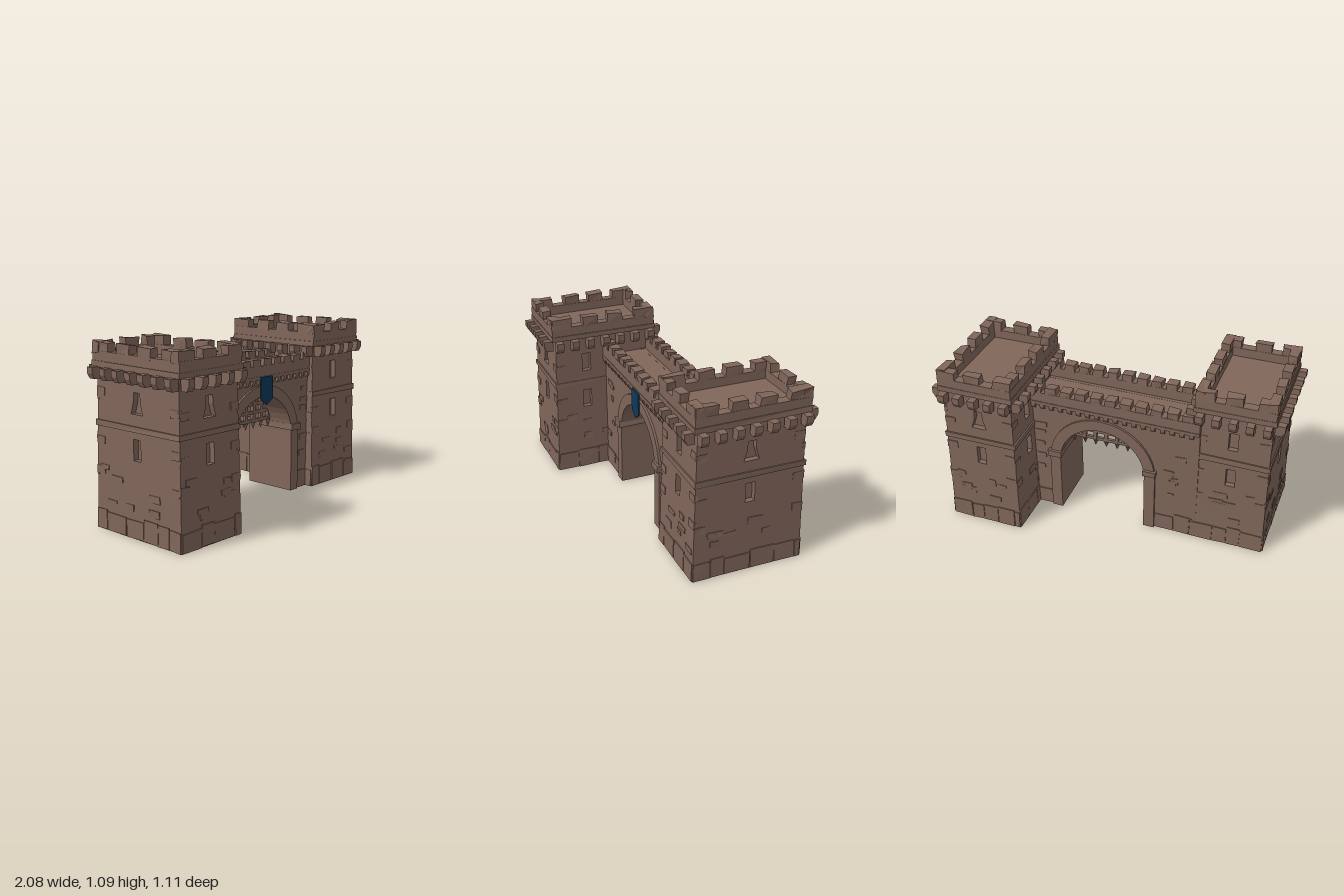
import * as THREE from 'three';
import { mergeGeometries } from 'three/addons/utils/BufferGeometryUtils.js';

const stone = new THREE.MeshStandardMaterial({ color: 0x80665a });
stone.name = 'brown stone';
const cloth = new THREE.MeshStandardMaterial({ color: 0x0e3857 });
cloth.name = 'blue cloth';

let seed = 7;
const rnd = (a = 0, b = 1) => {
  seed = (seed * 16807) % 2147483647;
  return a + (b - a) * seed / 2147483647;
};

// Flat-shaded geometry, moved to a place, then turned about the y axis
function put(g, x, y, z, turn = 0) {
  const out = g.index ? g.toNonIndexed() : g;
  out.deleteAttribute('uv');
  out.translate(x, y, z).rotateY(turn);
  out.computeVertexNormals();
  return out;
}

const box = (w, h, d, x, y, z, turn) => put(new THREE.BoxGeometry(w, h, d), x, y, z, turn);

// Rough-hewn block: each corner of a box is nudged
function block(w, h, d, x, y, z, turn = 0, rough = 0.006) {
  const g = new THREE.BoxGeometry(w, h, d), p = g.attributes.position;
  const nudge = Array.from({ length: 8 }, () => [rnd(-rough, rough), rnd(-rough, rough), rnd(-rough, rough) * 0.5]);
  for (let i = 0; i < p.count; i++) {
    const n = nudge[(p.getX(i) > 0 ? 1 : 0) + (p.getY(i) > 0 ? 2 : 0) + (p.getZ(i) > 0 ? 4 : 0)];
    p.setXYZ(i, p.getX(i) + n[0], p.getY(i) + n[1], p.getZ(i) + n[2]);
  }
  return put(g, x, y, z, turn);
}

// Corbel: bracket whose lower end slopes back into the wall
function corbel(w, h, d, x, y, z, turn) {
  const s = new THREE.Shape([[0, 0], [-d * 0.7, 0], [-d, h * 0.45], [-d, h], [0, h]].map(p => new THREE.Vector2(...p)));
  const g = new THREE.ExtrudeGeometry(s, { depth: w, bevelEnabled: false });
  g.translate(0, 0, -w / 2).rotateY(Math.PI / 2);
  return put(g, x, y, z, turn);
}

// Row of uneven foundation stones along one face
function course(list, x0, x1, z, turn, h = 0.12) {
  for (let x = x0; x < x1 - 0.01;) {
    const w = Math.min(rnd(0.08, 0.17), x1 - x);
    const hh = h + rnd(-0.015, 0.012);
    list.push(block(w - 0.004, hh, 0.03, x + w / 2, hh / 2 + 0.003, z - 0.009, turn, 0.003));
    x += w;
  }
}

const mesh = (name, geoms, material = stone) => {
  const m = new THREE.Mesh(Array.isArray(geoms) ? mergeGeometries(geoms) : geoms, material);
  m.name = name;
  return m;
};

const slit = [[-0.03, 0], [0.03, 0], [0.03, 0.12], [-0.03, 0.12]];
const flared = [[-0.05, 0], [0.05, 0], [0.027, 0.07], [0.027, 0.12], [-0.027, 0.12], [-0.027, 0.07]];

function tower(name) {
  const g = new THREE.Group();
  g.name = name;
  const hx = 0.235, hz = 0.348, H = 0.95, T = 0.035;
  // Window offset along each face: front, outer side, back, inner side
  const sides = [[0, hx, hz, 0, slit], [1, hz, hx, 0, flared], [2, hx, hz, 0, flared], [3, hz, hx, -0.13, slit]];
  const shaft = [box(2 * (hx - T), H, 2 * (hz - T), 0, H / 2, 0)];
  const corbels = [], parapet = [], merlons = [];

  for (const [i, half, dist, wx, upper] of sides) {
    const turn = i * Math.PI / 2;
    // Wall panel with two window openings
    const s = new THREE.Shape([[-half, 0], [half, 0], [half, H], [-half, H]].map(p => new THREE.Vector2(...p)));
    for (const [y, pts] of [[0.45, slit], [0.71, upper]])
      s.holes.push(new THREE.Path(pts.map(([a, b]) => new THREE.Vector2(a + wx, b + y))));
    shaft.push(put(new THREE.ExtrudeGeometry(s, { depth: T, bevelEnabled: false }), 0, 0, dist - T, turn));
    course(shaft, -half, half, dist, turn);
    // Scattered proud stones, low on the wall and at the corners
    for (let k = 0; k < 6; k++)
      shaft.push(block(rnd(0.05, 0.1), rnd(0.025, 0.045), 0.02, rnd(-half + 0.06, half - 0.06), rnd(0.17, 0.41), dist - 0.006, turn, 0.003));
    for (const e of [-1, 1])
      for (const y of [0.36, 0.52, 0.77])
        shaft.push(block(0.07, 0.045, 0.02, e * (half - 0.034), y + rnd(-0.04, 0.04), dist - 0.006, turn, 0.003));

    // Corbels under the parapet
    const n = half > 0.3 ? 7 : 5;
    for (let k = 0; k < n; k++)
      corbels.push(corbel(0.045, 0.068, 0.06, (k / (n - 1) - 0.5) * 2 * (half - 0.035), 0.88, dist - 0.004, turn));
    // Parapet wall and merlons
    const out = dist + 0.003;
    parapet.push(box(2 * half + 0.006, 0.06, 0.058, 0, 1.005, out - 0.029, turn));
    const row = half > 0.3 ? [[-0.283, 0.13], [-0.09, 0.1], [0.08, 0.1], [0.283, 0.13]]
      : [[-0.182, 0.11], [-0.01, 0.1], [0.182, 0.11]];
    for (const [x, w] of row) merlons.push(block(w, 0.065, 0.056, x, 1.055, out - 0.029, turn, 0.007));
  }

  // The shaft narrows towards the top
  const body = mergeGeometries(shaft), p = body.attributes.position;
  for (let i = 0; i < p.count; i++) {
    const k = 1 - 0.06 * p.getY(i);
    p.setX(i, p.getX(i) * k);
    p.setZ(i, p.getZ(i) * k);
  }
  body.computeVertexNormals();
  g.add(mesh('towerShaft', body));
  g.add(mesh('stringCourse', block(0.468, 0.034, 0.686, 0, 0.628, 0, 0, 0.004)));
  g.add(mesh('corbels', corbels));
  g.add(mesh('cornice', block(0.488, 0.035, 0.708, 0, 0.962, 0, 0, 0.004)));
  g.add(mesh('parapet', parapet));
  g.add(mesh('merlons', merlons));
  return g;
}

// Archway outline: straight jambs with a round head
const CX = 0.06, SPRING = 0.39;
function archPoints(r) {
  const pts = [new THREE.Vector2(CX + r, 0)];
  for (let i = 0; i <= 20; i++) {
    const a = i / 20 * Math.PI;
    pts.push(new THREE.Vector2(CX + r * Math.cos(a), SPRING + r * Math.sin(a)));
  }
  pts.push(new THREE.Vector2(CX - r, 0));
  return pts;
}

function gatehouse() {
  const g = new THREE.Group();
  g.name = 'gatehouse';
  const X0 = -0.56, X1 = 0.54, ZC = -0.035, D = 0.335, TOP = 0.8;

  // Wall with the archway cut through to the ground
  const V = (x, y) => new THREE.Vector2(x, y);
  const outline = new THREE.Shape([V(X0, 0), ...archPoints(0.3).reverse(), V(X1, 0), V(X1, TOP), V(X0, TOP)]);
  g.add(mesh('curtainWall', put(new THREE.ExtrudeGeometry(outline, { depth: D, bevelEnabled: false }), 0, 0, ZC - D / 2)));

  // Arch surround, slightly proud of both faces
  const ring = new THREE.Shape([...archPoints(0.35), ...archPoints(0.28).reverse()]);
  g.add(mesh('archSurround', put(new THREE.ExtrudeGeometry(ring, { depth: D + 0.03, bevelEnabled: false }), 0, 0, ZC - D / 2 - 0.015)));
  g.add(mesh('archCapitals', [-1, 1].map(s => block(0.088, 0.042, D + 0.062, CX + s * 0.315, 0.43, ZC, 0, 0.004))));

  // Both faces: foundation stones, corbels, ledge, parapet and merlons
  const footing = [], corbels = [], parapet = [], merlons = [];
  for (const s of [1, -1]) {
    const turn = s > 0 ? 0 : Math.PI;
    const list = { footing: [], corbels: [], parapet: [], merlons: [] };
    const f = D / 2;
    for (const [a, b] of [[-0.54, -0.29], [0.41, 0.53]]) {
      course(list.footing, s > 0 ? a : -b, s > 0 ? b : -a, f, turn);
      for (let k = 0; k < 5; k++)
        list.footing.push(block(rnd(0.04, 0.08), rnd(0.025, 0.04), 0.02, s * rnd(a + 0.05, b - 0.05), rnd(0.18, 0.68), f - 0.005, turn, 0.003));
    }
    for (let k = 0; k < 18; k++)
      list.corbels.push(corbel(0.028, 0.045, 0.03, -0.51 + k * 0.06, 0.745, f - 0.012, turn));
    list.parapet.push(box(X1 - X0, 0.022, 0.09, s * (X0 + X1) / 2, 0.79, f - 0.025, turn));
    list.parapet.push(box(X1 - X0, 0.075, 0.065, s * (X0 + X1) / 2, 0.828, f - 0.016, turn));
    for (let k = 0; k < 11; k++)
      list.merlons.push(block(0.068, 0.05, 0.064, -0.485 + k * 0.097, 0.881, f - 0.016, turn, 0.006));
    footing.push(...list.footing);
    corbels.push(...list.corbels);
    parapet.push(...list.parapet);
    merlons.push(...list.merlons);
  }
  for (const [name, geoms] of Object.entries({ wallStones: footing, wallCorbels: corbels, wallParapet: parapet, wallMerlons: merlons })) {
    const m = mesh(name, geoms);
    m.position.z = ZC;
    g.add(m);
  }

  // Raised portcullis: crossing bars with spikes below
  const bars = [], R = 0.29;
  for (let i = 0; i < 8; i++) {
    const dx = (i - 3.5) * 0.073;
    const top = SPRING + Math.sqrt(R * R - dx * dx);
    bars.push(box(0.022, top - 0.46, 0.022, CX + dx, (top + 0.46) / 2, ZC));
    const spike = new THREE.ConeGeometry(0.021, 0.05, 4);
    spike.rotateX(Math.PI);
    bars.push(put(spike, CX + dx, 0.442, ZC));
  }
  for (const y of [0.475, 0.53, 0.585, 0.64])
    bars.push(box(2 * Math.sqrt(R * R - (y - SPRING) ** 2), 0.02, 0.018, CX, y, ZC));
  g.add(mesh('portcullis', bars));

  // Pointed banner hanging over the arch
  const flag = new THREE.Shape([V(-0.054, 0.655), V(0, 0.618), V(0.054, 0.655), V(0.054, 0.798), V(-0.054, 0.798)]);
  g.add(mesh('banner', put(new THREE.ExtrudeGeometry(flag, { depth: 0.009, bevelEnabled: false }), 0.075, 0, 0.157), cloth));
  return g;
}

export function createModel() {
  const model = new THREE.Group();
  model.name = 'castleGate';
  const left = tower('leftTower');
  left.position.set(0.745, 0, -0.16);
  const right = tower('rightTower');
  right.rotation.y = Math.PI;
  right.position.set(-0.757, 0, 0.143);
  model.add(left, right, gatehouse());
  return model;
}
